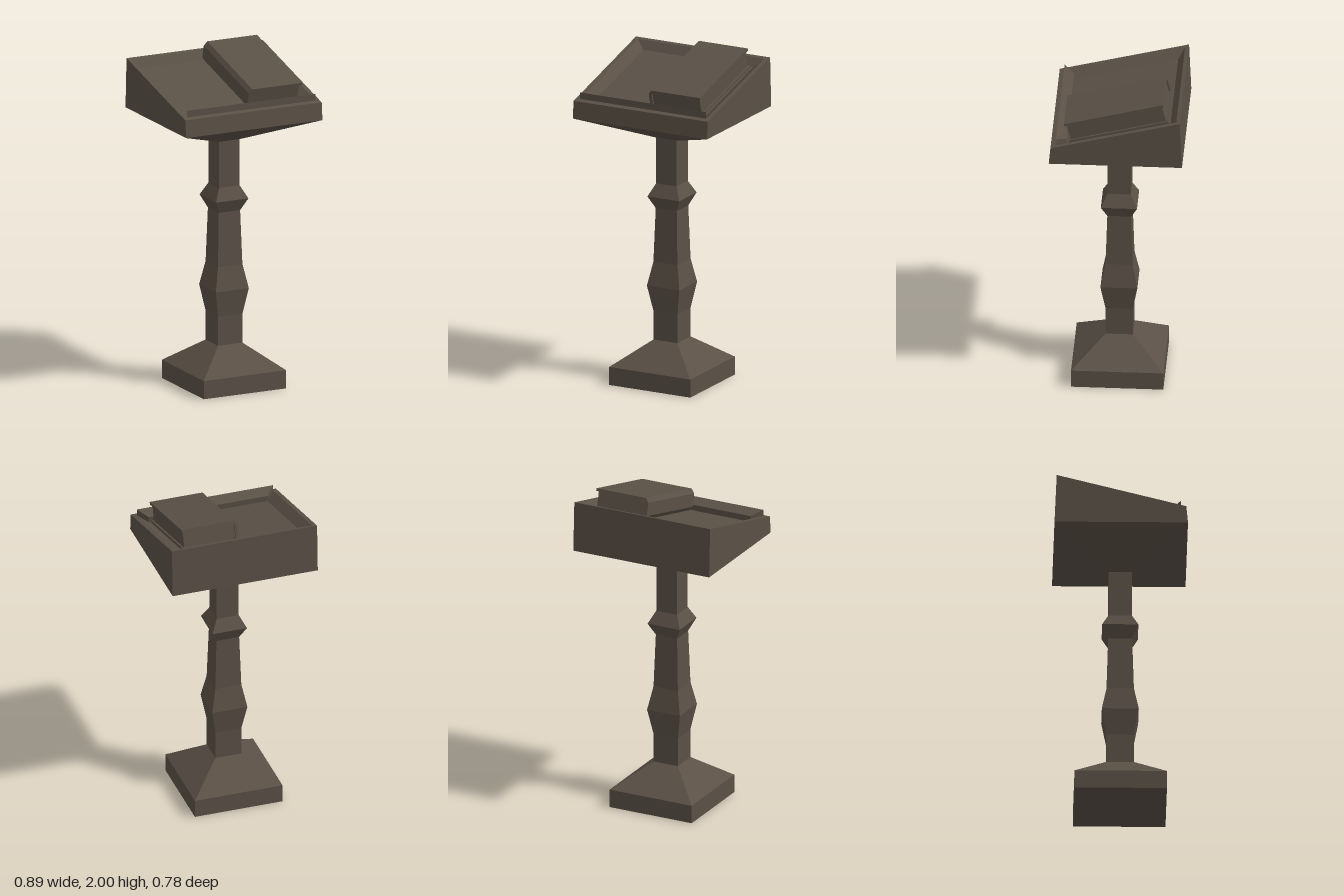
import * as THREE from 'three';

const wood = new THREE.MeshStandardMaterial({ color: 0x5a5046, flatShading: true });

function mesh(name, geometry) {
  const m = new THREE.Mesh(geometry, wood);
  m.name = name;
  return m;
}

// Skins a stack of four-cornered rings, closed at both ends.
// A ring is [front x, y, z, back x, y, z], mirrored across x = 0.
function loft(rings) {
  const corners = rings.map(([fx, fy, fz, bx, by, bz]) => [
    [fx, fy, fz], [bx, by, bz], [-bx, by, bz], [-fx, fy, fz],
  ]);
  const pos = [];
  const quad = (a, b, c, d) => pos.push(...a, ...b, ...c, ...a, ...c, ...d);
  for (let i = 0; i < corners.length - 1; i++) {
    const lo = corners[i], hi = corners[i + 1];
    for (let k = 0; k < 4; k++) {
      const n = (k + 1) % 4;
      quad(lo[k], lo[n], hi[n], hi[k]);
    }
  }
  quad(...[...corners[0]].reverse());
  quad(...corners[corners.length - 1]);
  const g = new THREE.BufferGeometry();
  g.setAttribute('position', new THREE.Float32BufferAttribute(pos, 3));
  g.computeVertexNormals();
  return g;
}

// Square ring of half-width w at height y
const square = (w, y) => [w, y, w, w, y, -w];

function createBook() {
  const book = new THREE.Group();
  book.name = 'book';
  const length = 0.6, thick = 0.13;

  // Covers and bevelled spine as one bent strip, extruded along the book
  const outline = [
    [0.355, 0], [0.03, 0], [0.01, 0.025], [0.01, 0.105], [0.03, thick], [0.355, thick],
    [0.355, 0.114], [0.04, 0.114], [0.028, 0.1], [0.028, 0.03], [0.04, 0.016], [0.355, 0.016],
  ].map(([x, y]) => new THREE.Vector2(x, y));
  const cover = new THREE.ExtrudeGeometry(new THREE.Shape(outline), {
    depth: length, bevelEnabled: false,
  });
  book.add(mesh('bookCover', cover));

  // Page block, set back from the cover edges
  const pages = new THREE.BoxGeometry(0.315, 0.1, length - 0.024);
  pages.translate(0.1855, thick / 2, length / 2);
  book.add(mesh('bookPages', pages));

  book.rotation.x = Math.atan(0.262);
  book.position.set(0, 1.873, -0.306);
  return book;
}

export function createModel() {
  const group = new THREE.Group();
  group.name = 'lectern';

  // Square foot with sloping top
  group.add(mesh('base', loft([square(0.27, 0), square(0.27, 0.11), square(0.08, 0.255)])));

  // Square post with two swellings
  const post = [
    [0.08, 0.255], [0.08, 0.43], [0.108, 0.587], [0.08, 0.73], [0.07, 1.055],
    [0.106, 1.13], [0.068, 1.205], [0.068, 1.49],
  ];
  group.add(mesh('post', loft(post.map(([w, y]) => square(w, y)))));

  // Slanted desk: tapered underside, walls, rim, sunken reading surface
  const rimY = (z) => 1.735 + (0.38 - z) * 0.258;
  group.add(mesh('desk', loft([
    square(0.07, 1.485),
    [0.447, 1.63, 0.39, 0.447, 1.63, -0.39],
    [0.447, 1.735, 0.38, 0.447, rimY(-0.377), -0.377],
    [0.42, rimY(0.35), 0.35, 0.42, rimY(-0.355), -0.355],
    [0.366, 1.717, 0.293, 0.366, 1.875, -0.318],
  ])));

  // Raised lip that stops books sliding off
  group.add(mesh('bookRest', loft([
    [0.42, 1.74, 0.35, 0.366, 1.715, 0.293],
    [0.42, 1.782, 0.35, 0.366, 1.754, 0.29],
  ])));

  group.add(createBook());
  return group;
}
